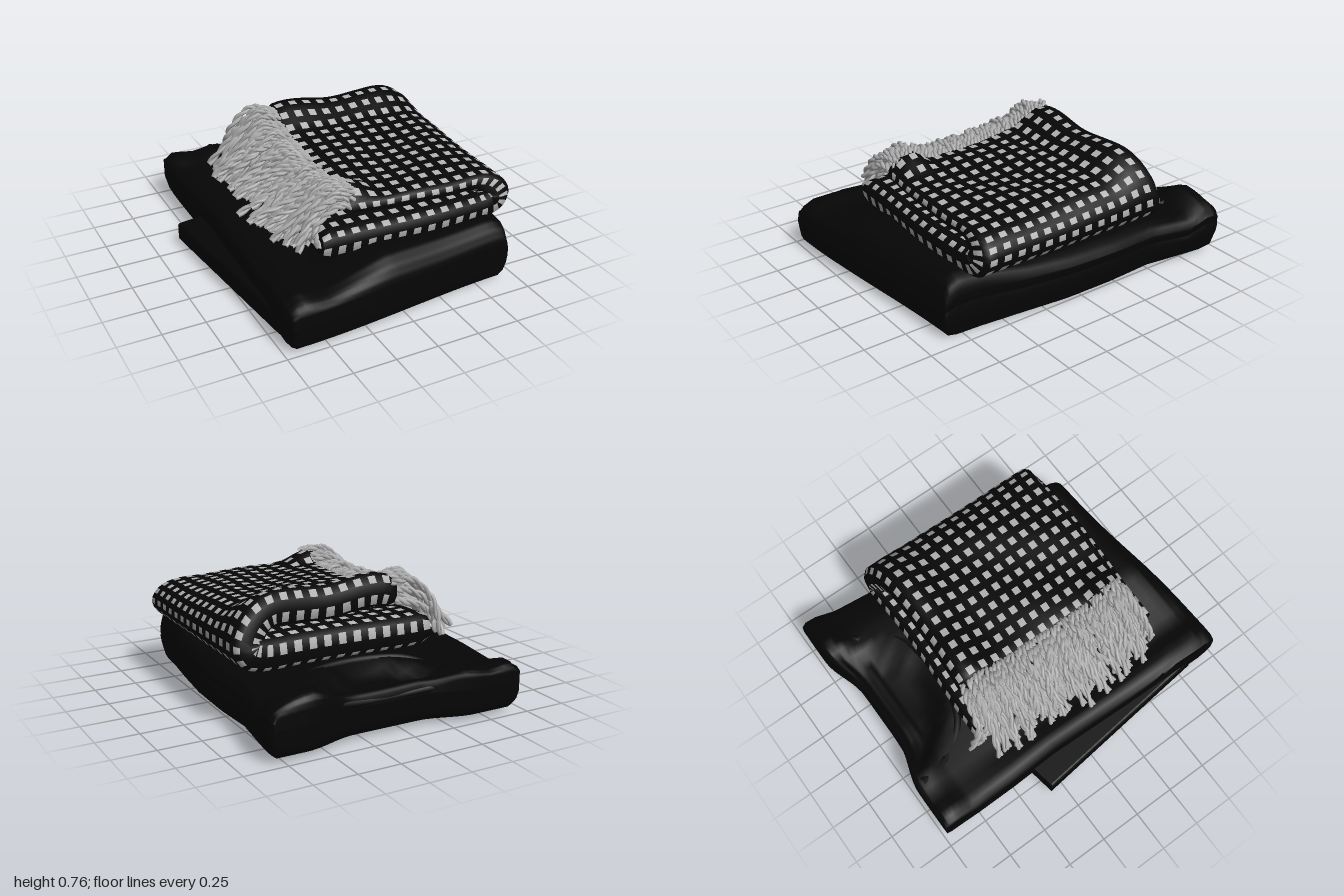
import * as THREE from 'three';
import { mergeGeometries } from 'three/addons/utils/BufferGeometryUtils.js';

const V = (x, y, z) => new THREE.Vector3(x, y, z);

// Piecewise linear lookup: rows of [key, ...values], returns column c
function lookup(rows, k, c = 1) {
  if (k <= rows[0][0]) return rows[0][c];
  for (let i = 1; i < rows.length; i++) {
    const a = rows[i - 1], b = rows[i];
    if (k <= b[0]) return a[c] + (b[c] - a[c]) * (k - a[0]) / (b[0] - a[0]);
  }
  return rows[rows.length - 1][c];
}
const smooth = THREE.MathUtils.smoothstep;
// Soft bump that is 1 between b and c and 0 outside a..d
const plateau = (v, a, b, c, d) => smooth(v, a, b) * (1 - smooth(v, c, d));

// Tube-like surface: nu rows of nv points each; cells picked by isSpot go to a second group
function loft(nu, nv, point, isSpot = () => false) {
  const pos = [], base = [], spots = [];
  for (let i = 0; i <= nu; i++)
    for (let j = 0; j < nv; j++) pos.push(...point(i, j).toArray());
  for (let i = 0; i < nu; i++)
    for (let j = 0; j < nv; j++) {
      const j2 = (j + 1) % nv;
      const a = i * nv + j, b = a + nv, c = (i + 1) * nv + j2, d = i * nv + j2;
      (isSpot(i, j) ? spots : base).push(a, b, c, a, c, d);
    }
  const g = new THREE.BufferGeometry();
  g.setAttribute('position', new THREE.Float32BufferAttribute(pos, 3));
  g.setIndex([...base, ...spots]);
  g.addGroup(0, base.length, 0);
  if (spots.length) g.addGroup(base.length, spots.length, 1);
  g.computeVertexNormals();
  return g;
}

// Folded garment: stations along z of [z, xLeft, xRight, yBottom, yTop]
const STATIONS = [
  [-0.985, -0.69, 0.82, 0.2, 0.2], [-0.98, -0.70, 0.83, 0.08, 0.31], [-0.95, -0.70, 0.84, 0.04, 0.35],
  [-0.88, -0.70, 0.835, 0.03, 0.355], [-0.76, -0.70, 0.82, 0.03, 0.28], [-0.5, -0.70, 0.785, 0.03, 0.31],
  [-0.2, -0.69, 0.80, 0.03, 0.325], [0.1, -0.70, 0.79, 0.025, 0.33], [0.4, -0.71, 0.76, 0.025, 0.34],
  [0.7, -0.715, 0.72, 0.015, 0.375], [0.88, -0.72, 0.705, 0.01, 0.37], [0.95, -0.715, 0.70, 0.02, 0.33],
  [0.99, -0.71, 0.695, 0.06, 0.27], [1.0, -0.705, 0.69, 0.17, 0.17],
];
// How far the top sinks along x where the garment is thickest
const SAG = [[-0.71, 0.09], [-0.65, 0.045], [-0.5, 0.08], [-0.36, 0.055], [-0.1, 0], [0.6, 0], [0.72, 0.03], [0.84, 0.09]];

function garmentGeometry() {
  const ring = [], n = 28;
  const right = [[0.97, 0.92], [0.985, 0.7], [0.995, 0.4], [0.985, 0.12], [0.975, 0.05], [0.995, -0.1], [0.985, -0.5], [0.96, -0.9]];
  const left = [[-0.98, -0.88], [-1, -0.5], [-1, 0], [-1, 0.5], [-0.98, 0.88]];
  for (let i = 0; i <= n; i++) ring.push([-0.94 + 1.88 * i / n, 1]);
  ring.push(...right);
  for (let i = 0; i <= n; i++) ring.push([0.94 - 1.88 * i / n, -1]);
  ring.push(...left);
  const zs = [];
  for (let i = 0; i < STATIONS.length - 1; i++)
    for (let k = 0; k < 3; k++) zs.push(STATIONS[i][0] + (STATIONS[i + 1][0] - STATIONS[i][0]) * k / 3);
  zs.push(1);
  return loft(zs.length - 1, ring.length, (i, j) => {
    const s = zs[i], [a, b] = ring[j];
    const [xl, xr, y0, y1] = [1, 2, 3, 4].map(c => lookup(STATIONS, s, c));
    const x = (xl + xr) / 2 + a * (xr - xl) / 2;
    let y = (y0 + y1) / 2 + b * (y1 - y0) / 2;
    if (b > 0.5) {
      // neck opening dips, cloth sags and ripples gently
      const u = (x - 0.1) / 0.46, depth = -0.5 - 0.4 * u * u;
      y -= 0.06 * smooth(depth - s, 0, 0.1) * (1 - smooth(Math.abs(u), 0.85, 1.05)) * smooth(s, -0.98, -0.9);
      y -= 0.06 * smooth(-s, 0.78, 0.92) * (1 - smooth(Math.abs(u), 0.5, 1)) * smooth(y1 - y0, 0, 0.2);
      y -= lookup(SAG, x) * THREE.MathUtils.clamp((y1 - 0.25) / 0.12, 0, 1);
      y += 0.006 * Math.sin(7 * x + 3 * s) * smooth(y1 - y0, 0, 0.2);
    } else if (b === -1) {
      // hollow behind the bottom panel
      y += 0.07 * plateau(s, -0.93, -0.8, -0.46, -0.37) * plateau(x, -0.68, -0.55, 0.6, 0.75);
    }
    let z = s;
    if (s > 0) z *= 1 - 0.13 * smooth(x, -0.7, 0.8) * s;
    else z += 0.075 * (1 - smooth(Math.abs(x - 0.1), 0.2, 0.52)) * smooth(-s, 0.7, 0.98);
    return V(x, y, z);
  });
}

// Scarf height falls towards the front; the front corner by the fringe is lifted
const FALL = [[-0.54, 0.88], [-0.46, 0.98], [-0.38, 1], [-0.2, 0.79], [0.1, 0.71], [0.5, 0.67], [0.66, 0.63], [0.73, 0.58]];
function scarfY(x, y, z) {
  const h = y - 0.33;
  return 0.33 + h * (1 - (1 - lookup(FALL, z)) * h / 0.42)
    + 0.08 * smooth(y, 0.5, 0.62) * (1 - smooth(x, -0.2, 0.05)) * plateau(z, 0.4, 0.52, 0.56, 0.72);
}

// Thick cloth band doubled back on itself, with a woven grid of pale squares
function scarfGeometry() {
  const path = new THREE.CatmullRomCurve3([
    [-0.4, 0.335], [-0.3, 0.33], [0, 0.33], [0.4, 0.33], [0.66, 0.335], [0.76, 0.37], [0.81, 0.46],
    [0.79, 0.56], [0.72, 0.66], [0.6, 0.725], [0.4, 0.735], [0.2, 0.735], [0, 0.755], [-0.12, 0.755], [-0.21, 0.74],
  ].map(([x, y]) => V(x, y, 0)));
  const across = 26, edge = 4, nv = 2 * (across + edge), nu = 54, t = 0.185;
  return loft(nu + 2, nv, (i, j) => {
    const u = THREE.MathUtils.clamp((i - 1) / nu, 0, 1);
    const cap = i === 0 || i === nu + 2 ? 0 : i === 1 || i === nu + 1 ? 0.75 : 1;
    const p = path.getPointAt(u), tan = path.getTangentAt(u);
    const up = smooth(u, 0.45, 0.7);
    const z0 = -0.50 + 0.05 * up, z1 = 0.69 - 0.06 * up;
    let z, d;
    if (j <= across) { z = z0 + (z1 - z0) * j / across; d = 0; }
    else if (j < across + edge) {
      const a = Math.PI * (j - across) / edge;
      z = z1 + 0.04 * Math.sin(a); d = t * (1 - Math.cos(a)) / 2;
    } else if (j <= 2 * across + edge) { z = z1 - (z1 - z0) * (j - across - edge) / across; d = t; }
    else {
      const a = Math.PI * (j - 2 * across - edge) / edge;
      z = z0 - 0.04 * Math.sin(a); d = t * (1 + Math.cos(a)) / 2;
    }
    d = t / 2 + (d - t / 2) * cap;
    const x = p.x - tan.y * d, y = p.y + tan.x * d;
    const ripple = 0.006 * up * Math.sin(11 * x + 9 * z);
    return V(x, scarfY(x, y, z) + ripple, z + 0.012 * Math.sin(5 * x));
  }, (i, j) => i > 0 && i <= nu && i % 2 === 1 && j % 2 === 1);
}

// One ply of a twisted strand, winding round a centre curve
class Ply extends THREE.Curve {
  constructor(centre, phase) { super(); this.centre = centre; this.phase = phase; }
  getPoint(t, out = V(0, 0, 0)) {
    const tan = this.centre.getTangent(t), a = this.phase + t * Math.PI * 7;
    const side = V(0, 0, 1).addScaledVector(tan, -tan.z).normalize();
    const other = tan.clone().cross(side);
    return out.copy(this.centre.getPoint(t)).addScaledVector(side, 0.01 * Math.cos(a)).addScaledVector(other, 0.01 * Math.sin(a));
  }
}

function fringeGeometry() {
  let seed = 7;
  const rnd = () => (seed = (seed * 16807) % 2147483647) / 2147483647;
  const jit = s => (rnd() - 0.5) * s;
  const parts = [], count = 132;
  for (let i = 0; i < count; i++) {
    // three rows: top face, middle and underside of the cloth end
    const row = i % 3, z = -0.47 + 1.1 * i / (count - 1);
    const y = scarfY(-0.2, [0.725, 0.66, 0.59][row], z) + jit(0.02);
    const back = smooth(-z, 0.3, 0.5);
    const reach = [-0.56, -0.53, -0.47][row] + jit(0.15) + 0.07 * back + 0.05 * smooth(z, 0.4, 0.65);
    const drift = jit(0.2) * (1 - smooth(z, 0.5, 0.65) * 0.6) - 0.1 * back;
    const end = 0.37 + rnd() * [0.14, 0.08, 0.04][row];
    const centre = new THREE.CatmullRomCurve3([
      V(-0.17, y, z),
      V(-0.28, y + 0.008 + jit(0.04), z + drift * 0.3 + jit(0.03)),
      V(-0.4 + jit(0.04), y * 0.6 + end * 0.4 + jit(0.05), z + drift * 0.6 + jit(0.06)),
      V(reach, end, z + drift),
    ]);
    for (const phase of [0, Math.PI]) parts.push(new THREE.TubeGeometry(new Ply(centre, phase), 26, 0.0125, 5));
  }
  return mergeGeometries(parts);
}

export function createModel() {
  const black = new THREE.MeshStandardMaterial({ color: 0x050505 });
  black.name = 'garment black';
  const weave = new THREE.MeshStandardMaterial({ color: 0x070707 });
  weave.name = 'scarf black';
  const pale = new THREE.MeshStandardMaterial({ color: 0xb2b2b2 });
  pale.name = 'pale grey yarn';
  const model = new THREE.Group();
  model.name = 'foldedClothes';
  const add = (name, geometry, material) => {
    const mesh = new THREE.Mesh(geometry, material);
    mesh.name = name;
    model.add(mesh);
  };

  add('foldedGarment', garmentGeometry(), black);

  // Sleeve sticking out beneath the garment; shape y maps to -z
  const outline = new THREE.Shape([[-0.825, 0.32], [-0.6, 0.36], [-0.6, -0.8], [-0.70, -0.8]].map(([x, y]) => new THREE.Vector2(x, y)));
  const sleeve = new THREE.ExtrudeGeometry(outline, { depth: 0.08, bevelThickness: 0.022, bevelSize: 0.018, bevelSegments: 3 });
  add('sleeve', sleeve.rotateX(-Math.PI / 2).translate(0, 0.055, 0), black);

  // Ribbed neckline: front loop and back band
  const bands = {
    frontCollar: [[-0.40, 0.29, -0.94], [-0.385, 0.27, -0.85], [-0.34, 0.25, -0.7], [-0.2, 0.28, -0.55], [0.1, 0.29, -0.49],
      [0.4, 0.285, -0.55], [0.53, 0.26, -0.7], [0.59, 0.29, -0.85], [0.605, 0.32, -0.95]],
    backCollar: [[-0.40, 0.28, -0.94], [-0.32, 0.24, -0.91], [0, 0.215, -0.885], [0.3, 0.22, -0.89], [0.53, 0.26, -0.92], [0.605, 0.31, -0.95]],
  };
  for (const [name, pts] of Object.entries(bands))
    add(name, new THREE.TubeGeometry(new THREE.CatmullRomCurve3(pts.map(p => V(...p))), 48, 0.027, 8), black);

  add('scarf', scarfGeometry(), [weave, pale]);
  add('fringe', fringeGeometry(), pale);
  return model;
}
